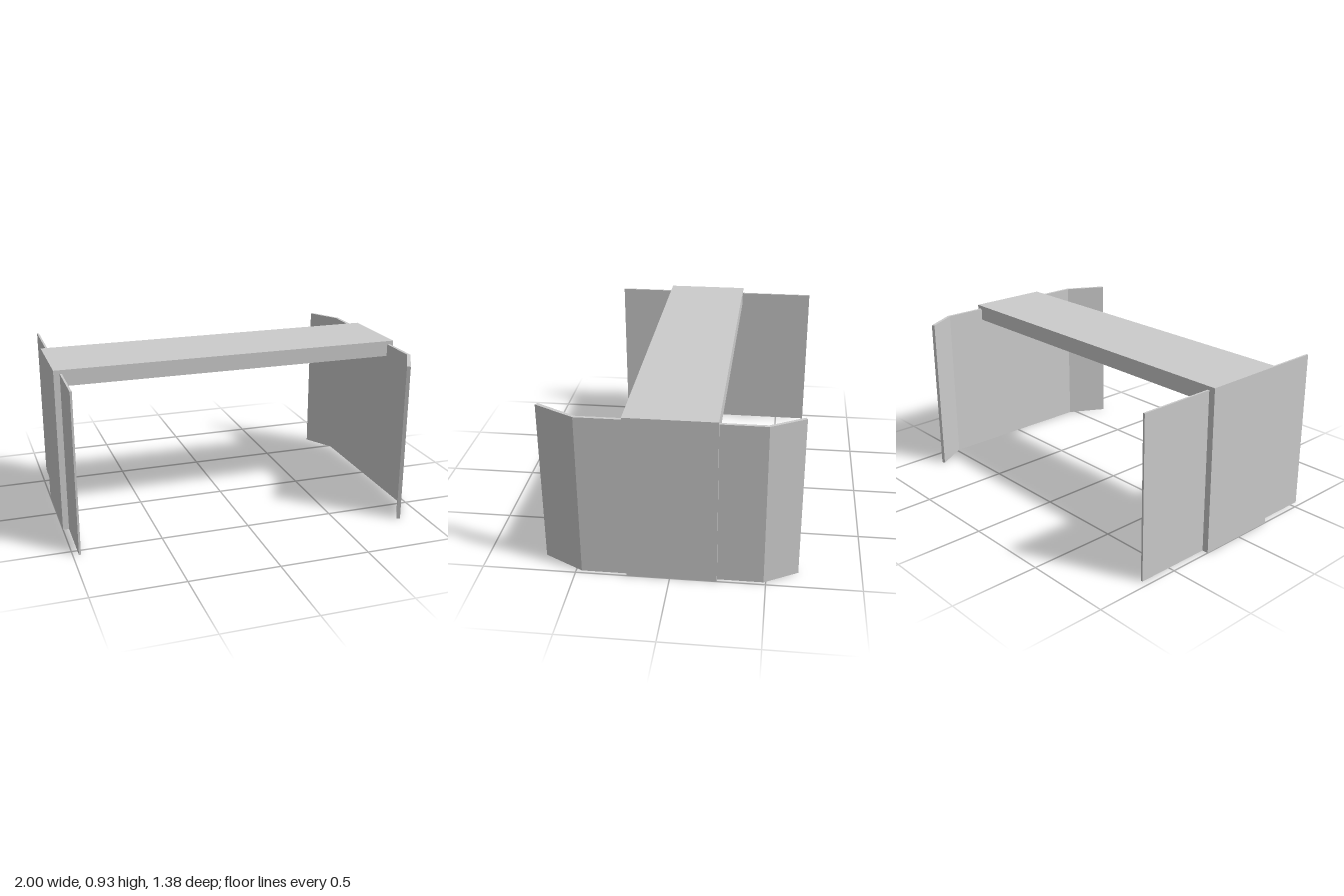
import * as THREE from 'three';

const material = new THREE.MeshStandardMaterial({ color: 0xcccccc, flatShading: true });

function extrude(name, points, depth) {
  const shape = new THREE.Shape(points.map(([a, b]) => new THREE.Vector2(a, b)));
  const geometry = new THREE.ExtrudeGeometry(shape, { depth, bevelEnabled: false });
  const mesh = new THREE.Mesh(geometry, material);
  mesh.name = name;
  return mesh;
}

// Upright wall from a plan outline of [x, z] points
function wall(name, plan, height) {
  const mesh = extrude(name, plan.map(([x, z]) => [x, -z]), height);
  mesh.rotation.x = -Math.PI / 2;
  return mesh;
}

export function createModel() {
  const model = new THREE.Group();
  model.name = 'bridge';
  const wallTop = 0.906;

  // Deck and its two end supports, one U-shaped profile along z
  const frame = extrude('deckFrame', [
    [-1, 0], [-0.96, 0], [-0.96, 0.836], [0.97, 0.836],
    [0.97, 0], [1, 0], [1, 0.926], [-1, 0.926],
  ], 0.473);
  frame.position.z = -0.247;
  model.add(frame);

  // Straight wall at the right end, turned very slightly
  model.add(wall('straightWall', [
    [-0.968, 0.55], [-0.957, 0.55], [-0.951, -0.687], [-0.962, -0.687],
  ], wallTop));

  // Wall at the left end with both wings folded inwards
  model.add(wall('wingedWall', [
    [0.98, 0.47], [0.86, 0.688], [0.842, 0.678], [0.963, 0.463],
    [0.963, -0.484], [0.861, -0.66], [0.877, -0.668], [0.98, -0.489],
  ], wallTop));

  return model;
}
